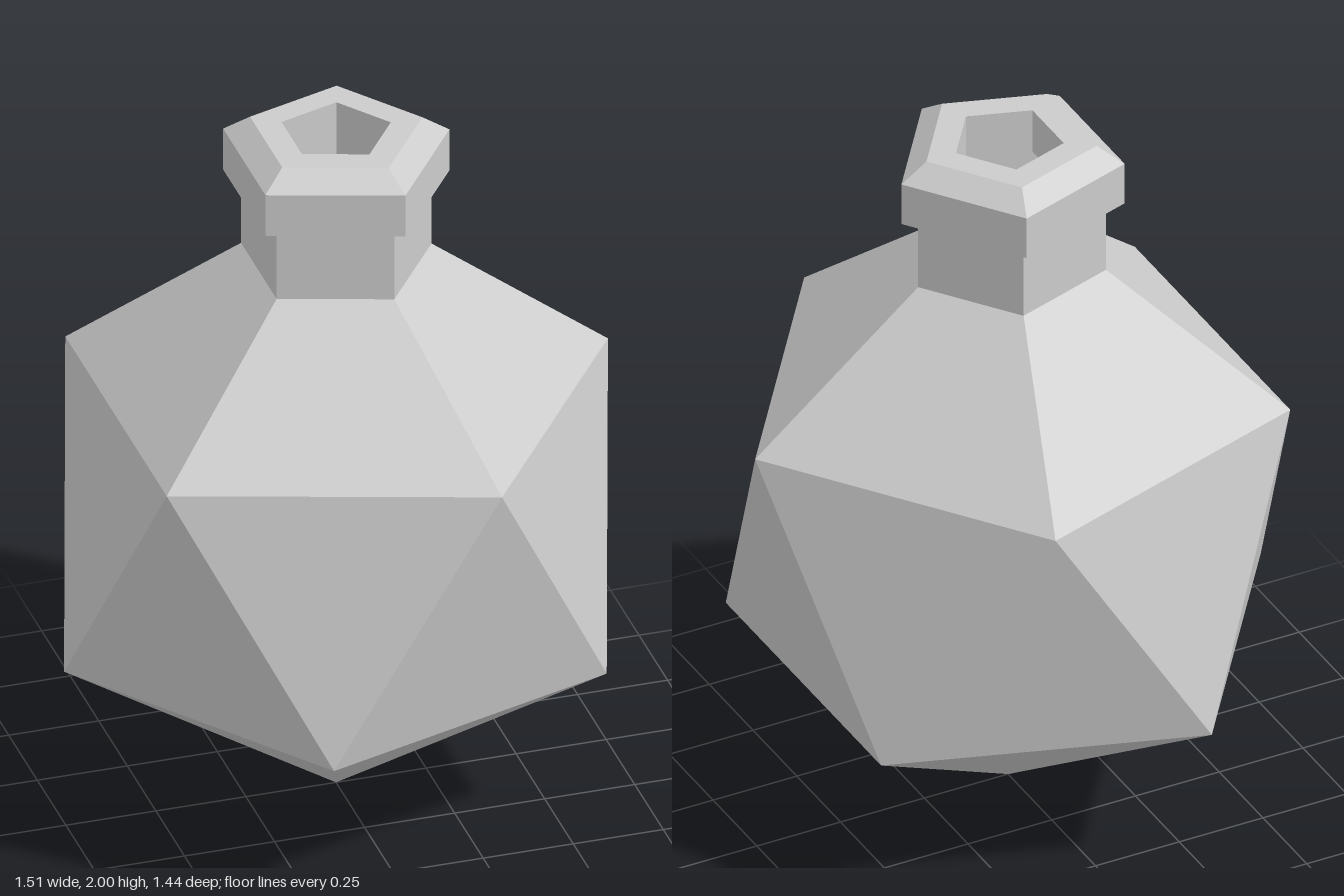
import * as THREE from 'three';

const SIDES = 5;

// Pentagon ring; turn is the rotation in half-sides
function ring(radius, y, turn = 0, cx = 0, cz = 0) {
  return Array.from({ length: SIDES }, (_, i) => {
    const a = ((i + turn / 2) / SIDES) * Math.PI * 2;
    return [cx + radius * Math.cos(a), y, cz + radius * Math.sin(a)];
  });
}

export function createModel() {
  const group = new THREE.Group();
  const material = new THREE.MeshStandardMaterial({
    color: 0xcccccc, flatShading: true, side: THREE.DoubleSide,
  });
  const neckX = -0.005, neckZ = 0.016;

  const add = (name, geometry) => {
    const mesh = new THREE.Mesh(geometry, material);
    mesh.name = name;
    group.add(mesh);
    return mesh;
  };

  // Faceted hollow body: icosahedron with its top cut open for the neck
  const lower = ring(0.755, 0.47, 1);
  const upper = ring(0.755, 1.225);
  const mouth = ring(0.265, 1.61, 0, neckX, neckZ);
  const tip = [0, 0, 0];
  const corners = [];
  for (let i = 0; i < SIDES; i++) {
    const j = (i + 1) % SIDES;
    corners.push(tip, lower[i], lower[j]);
    corners.push(lower[i], upper[i], upper[j]);
    corners.push(upper[j], lower[j], lower[i]);
    corners.push(upper[i], mouth[i], mouth[j], upper[i], mouth[j], upper[j]);
  }
  const body = new THREE.BufferGeometry();
  body.setAttribute('position', new THREE.Float32BufferAttribute(corners.flat(), 3));
  body.computeVertexNormals();
  add('body', body);

  // Five-sided turned parts, sharing the neck axis
  const turned = (name, profile) => {
    const points = profile.map(([r, y]) => new THREE.Vector2(r, y));
    const mesh = add(name, new THREE.LatheGeometry(points, SIDES, Math.PI / 2));
    mesh.position.set(neckX, 0, neckZ);
  };
  turned('neck', [[0.265, 1.61], [0.265, 1.87]]);
  turned('collar', [
    [0.265, 1.825], [0.315, 1.825], [0.315, 1.95], [0.24, 2],
    [0.152, 2], [0.152, 1.87], [0.265, 1.87],
  ]);

  return group;
}
